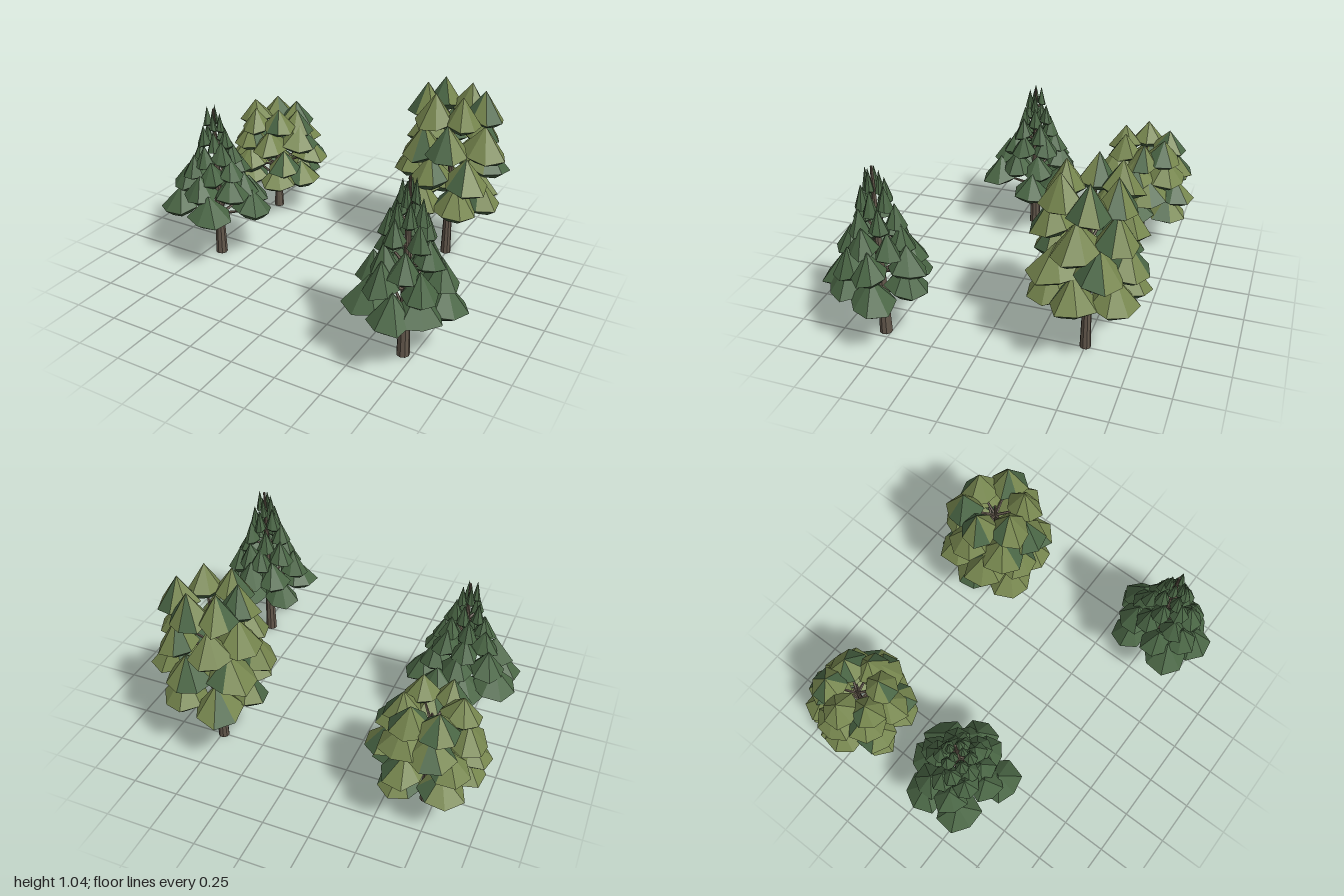
import * as THREE from 'three';
import { mergeGeometries } from 'three/addons/utils/BufferGeometryUtils.js';

const mat = (name, color) => new THREE.MeshStandardMaterial({ name, color, flatShading: true });

// Small seeded random generator
function seeded(seed) {
  let s = seed;
  return () => {
    s = (s * 16807) % 2147483647;
    return s / 2147483647;
  };
}

// One leaf clump: pointed cap over a bevelled underside.
// Facets go to the cap, accent or underside list.
function addClump(lists, rand, centre, out, r, h, accent) {
  const n = 7;
  const turn = rand() * Math.PI;
  const tilt = 0.15;
  const place = (x, y, z) => {
    const outward = x * out.x + z * out.z;
    return [centre.x + x, centre.y + y - outward * tilt, centre.z + z];
  };
  const rim = [], low = [];
  for (let i = 0; i < n; i++) {
    const a = turn + (i / n) * Math.PI * 2;
    const k = r * (0.88 + rand() * 0.27);
    const dy = (rand() - 0.5) * h * 0.16;
    rim.push(place(Math.cos(a) * k, dy, Math.sin(a) * k));
    low.push(place(Math.cos(a) * k * 0.6, -r * 0.31, Math.sin(a) * k * 0.6));
  }
  const top = place(0, h, 0);
  const base = place(0, -r * 0.35, 0);
  for (let i = 0; i < n; i++) {
    const j = (i + 1) % n;
    const cap = rand() < accent ? lists.accent : lists.cap;
    cap.push(...top, ...rim[j], ...rim[i]);
    lists.under.push(...rim[i], ...rim[j], ...low[j], ...rim[i], ...low[j], ...low[i]);
    lists.under.push(...base, ...low[i], ...low[j]);
  }
}

function toGeometry(list) {
  const g = new THREE.BufferGeometry();
  g.setAttribute('position', new THREE.Float32BufferAttribute(list, 3));
  g.computeVertexNormals();
  return g;
}

// Thin tapered limb between two points
function limb(from, to, r0, r1, sides) {
  const dir = to.clone().sub(from);
  const g = new THREE.CylinderGeometry(r1, r0, dir.length(), sides);
  const q = new THREE.Quaternion().setFromUnitVectors(new THREE.Vector3(0, 1, 0), dir.normalize());
  g.applyQuaternion(q);
  const mid = from.clone().add(to).multiplyScalar(0.5);
  return g.translate(mid.x, mid.y, mid.z);
}

// Evenly spread ring of clumps with a little scatter: [angle in degrees, distance]
function spread(rand, count, ring, start) {
  return Array.from({ length: count }, (_, i) => [
    start + ((i + (rand() - 0.5) * 0.3) / count) * 360,
    ring * (0.94 + rand() * 0.14),
  ]);
}

// layers: [rim height, ring radius, clump radius, clump height, count]
// skirt: optional clump spots of the lowest layer
// leaves: materials of the cap, accent and underside facets
function makeTree({ name, x, z, trunkR, trunkH, layers, skirt, seed, accent, leaves, bark }) {
  const tree = new THREE.Group();
  tree.name = name;
  tree.position.set(x, 0, z);
  const rand = seeded(seed);
  const wood = [];

  const trunk = new THREE.Mesh(
    limb(new THREE.Vector3(), new THREE.Vector3(0, trunkH, 0), trunkR, trunkR * 0.2, 9), bark);
  trunk.name = 'trunk';
  tree.add(trunk);

  layers.forEach(([y, ring, r, h, count], k) => {
    const lists = { cap: [], accent: [], under: [] };
    const spots = k === 0 && skirt ? skirt : spread(rand, count, ring, k * 32 + rand() * 20);
    for (const [angle, dist] of spots) {
      const a = THREE.MathUtils.degToRad(angle);
      const out = new THREE.Vector3(Math.cos(a), 0, Math.sin(a));
      const centre = out.clone().multiplyScalar(dist);
      centre.y = y + (rand() - 0.5) * 0.04;
      addClump(lists, rand, centre, out, r * (0.94 + rand() * 0.12), h, accent);
      const root = new THREE.Vector3(0, Math.min(y - ring * 0.4, trunkH - 0.02), 0);
      wood.push(limb(root, centre, trunkR * 0.3, trunkR * 0.15, 5));
    }
    for (const [part, list] of Object.entries(lists)) {
      if (!list.length) continue;
      const mesh = new THREE.Mesh(toGeometry(list), leaves[part]);
      mesh.name = `foliage ${part} ${k + 1}`;
      tree.add(mesh);
    }
  });

  const branches = new THREE.Mesh(mergeGeometries(wood), bark);
  branches.name = 'branches';
  tree.add(branches);
  return tree;
}

export function createModel() {
  const model = new THREE.Group();
  model.name = 'treeGroup';
  const bark = mat('bark', 0x62574b);
  const pine = mat('pineGreen', 0x4a6645);
  const olive = mat('oliveGreen', 0x76864e);
  const shade = mat('undersideGreen', 0x435c3e);

  // Pointed conifers: rings shrink toward the top
  const conifer = (s) => [
    [0.33, 0.2, 0.115, 0.125, 6],
    [0.425, 0.16, 0.092, 0.12, 6],
    [0.52, 0.12, 0.073, 0.11, 6],
    [0.61, 0.088, 0.055, 0.11, 5],
    [0.7, 0.062, 0.038, 0.11, 5],
    [0.79, 0.035, 0.024, 0.105, 4],
  ].map(([y, ring, r, h, n]) => [0.33 + (y - 0.33) * s, ring, r, h * s, n]);
  const skirtA = [[-13, 0.21], [68, 0.21], [147, 0.21], [202, 0.21], [254, 0.17], [298, 0.2]];
  const skirtB = [[-14, 0.19], [45, 0.16], [84, 0.19], [139, 0.18], [220, 0.18], [287, 0.18]];

  // Round trees: hollow rings of wide clumps
  const tallRound = [
    [0.375, 0.195, 0.124, 0.16, 6],
    [0.55, 0.195, 0.124, 0.15, 6],
    [0.7, 0.18, 0.118, 0.16, 6],
    [0.865, 0.155, 0.105, 0.155, 6],
  ];
  const shortRound = [
    [0.265, 0.18, 0.113, 0.11, 6],
    [0.37, 0.195, 0.113, 0.11, 6],
    [0.47, 0.18, 0.113, 0.12, 6],
    [0.575, 0.145, 0.1, 0.12, 6],
  ];

  const pines = { accent: 0, leaves: { cap: pine, under: shade }, bark, trunkR: 0.034 };
  const rounds = { accent: 0.25, leaves: { cap: olive, accent: pine, under: shade }, bark, trunkR: 0.03 };
  model.add(
    makeTree({ ...pines, name: 'rightConifer', x: -0.67, z: 0.15, trunkH: 0.9, layers: conifer(1), skirt: skirtA, seed: 411 }),
    makeTree({ ...pines, name: 'leftConifer', x: 0.7, z: 0.53, trunkH: 0.97, layers: conifer(1.14), skirt: skirtB, seed: 977 }),
    makeTree({ ...rounds, name: 'shortRoundTree', x: -0.7, z: -0.53, trunkH: 0.58, layers: shortRound, seed: 2203 }),
    makeTree({ ...rounds, name: 'tallRoundTree', x: 0.49, z: -0.5, trunkH: 0.9, layers: tallRound, seed: 5519 }),
  );
  return model;
}
